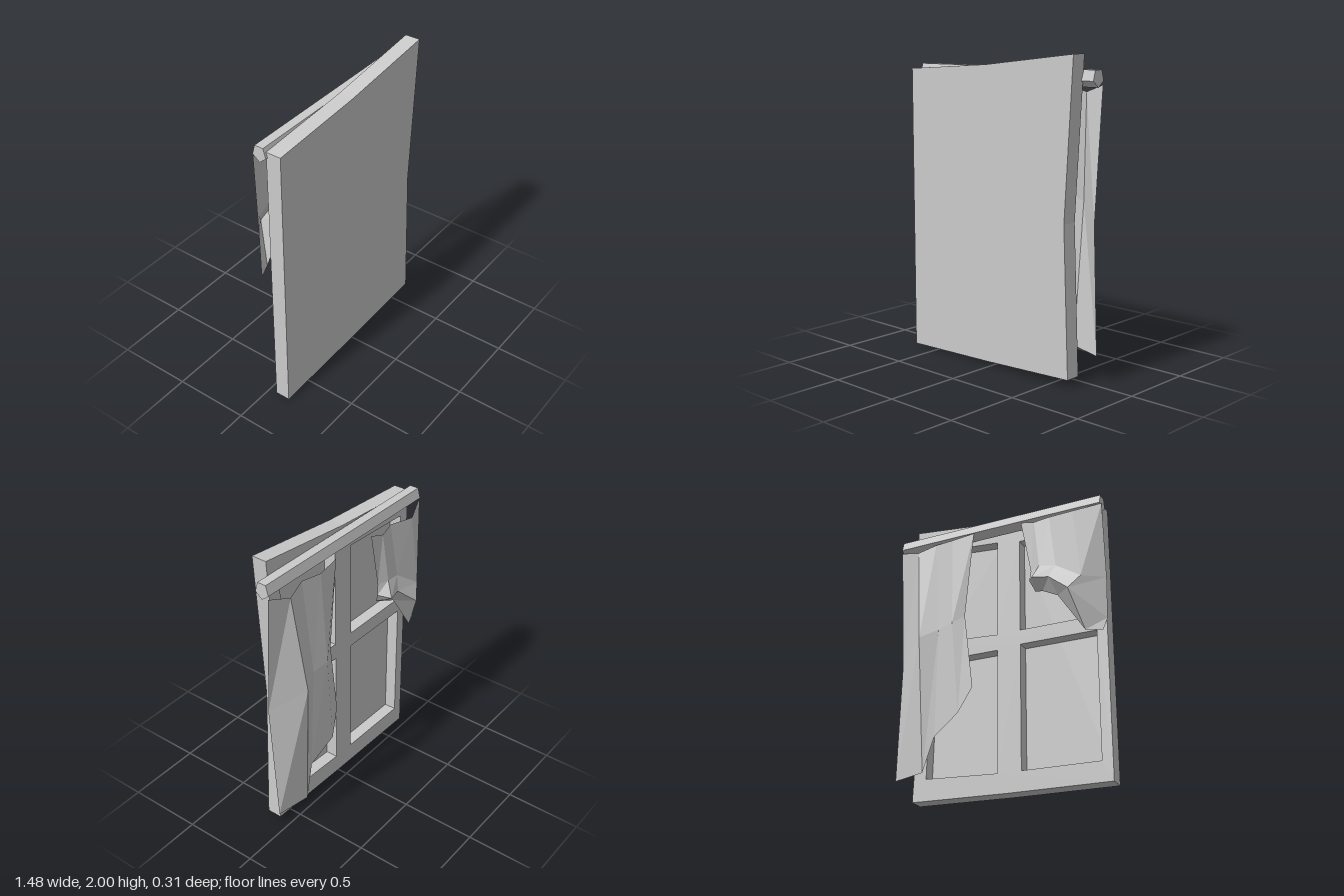
import * as THREE from 'three';

const grey = new THREE.MeshStandardMaterial({ color: 0xcccccc, flatShading: true });
const cloth = new THREE.MeshStandardMaterial({ color: 0xcccccc, flatShading: true, side: THREE.DoubleSide });

const points = (list) => list.map(([x, y]) => new THREE.Vector2(x, y));

// Crooked outline shared by the window frame and the panel that closes it
const OUTLINE = [[-0.71, 0], [-0.04, 0.02], [0.635, 0.05], [0.595, 1], [0.655, 2], [-0.04, 1.915], [-0.71, 1.865]];

// Four slightly skewed pane openings
const PANES = [
  [[-0.64, 0.135], [-0.12, 0.15], [-0.12, 0.99], [-0.64, 0.98]],
  [[0.04, 0.155], [0.54, 0.19], [0.52, 0.99], [0.04, 0.98]],
  [[-0.64, 1.08], [-0.12, 1.09], [-0.12, 1.74], [-0.64, 1.71]],
  [[0.04, 1.09], [0.52, 1.13], [0.55, 1.82], [0.04, 1.77]],
];

function slab(name, z, depth, holes = []) {
  const shape = new THREE.Shape(points(OUTLINE));
  for (const hole of holes) shape.holes.push(new THREE.Path(points(hole)));
  const geometry = new THREE.ExtrudeGeometry(shape, { depth, bevelEnabled: false });
  const mesh = new THREE.Mesh(geometry, grey);
  mesh.name = name;
  mesh.position.z = z;
  return mesh;
}

// Folded cloth lofted through rows of points, top to bottom
function curtain(name, rows) {
  const columns = rows[0].length;
  const index = [];
  for (let r = 0; r < rows.length - 1; r++) {
    for (let c = 0; c < columns - 1; c++) {
      const a = r * columns + c;
      const b = a + columns;
      index.push(a, b, a + 1, a + 1, b, b + 1);
    }
  }
  let geometry = new THREE.BufferGeometry();
  geometry.setAttribute('position', new THREE.Float32BufferAttribute(rows.flat(2), 3));
  geometry.setIndex(index);
  geometry = geometry.toNonIndexed();
  geometry.computeVertexNormals();
  const mesh = new THREE.Mesh(geometry, cloth);
  mesh.name = name;
  return mesh;
}

// Five-sided curtain rod between two points, one edge on top
function rod(start, end, radius) {
  const geometry = new THREE.CylinderGeometry(radius, radius, start.distanceTo(end), 5);
  geometry.rotateY(-Math.PI / 2);
  geometry.rotateZ(Math.PI / 2);
  geometry.scale(1, 1, 0.88);
  const mesh = new THREE.Mesh(geometry, grey);
  const direction = end.clone().sub(start).normalize();
  mesh.quaternion.setFromUnitVectors(new THREE.Vector3(1, 0, 0), direction);
  mesh.position.copy(start).lerp(end, 0.5);
  mesh.name = 'curtainRod';
  return mesh;
}

export function createModel() {
  const model = new THREE.Group();
  model.name = 'curtainedWindow';

  // Frame with recessed panes, closed by a flat panel
  model.add(slab('windowFrame', 0.055, 0.08, PANES));
  model.add(slab('windowPanel', 0.135, 0.02));

  model.add(rod(new THREE.Vector3(-0.725, 1.847, 0.017), new THREE.Vector3(0.735, 1.862, 0.023), 0.057));

  // Long hanging curtain
  model.add(curtain('leftCurtain', [
    [[0.735, 1.82, -0.02], [0.585, 1.77, -0.055], [0.46, 1.81, -0.035], [0.32, 1.8, -0.06], [0.165, 1.82, -0.05]],
    [[0.725, 1, 0.03], [0.525, 1.1, -0.115], [0.41, 1.15, -0.065], [0.3, 1.17, -0.085], [0.225, 1.22, -0.05]],
    [[0.72, 0.18, -0.015], [0.5, 0.19, -0.065], [0.43, 0.42, -0.05], [0.25, 0.54, -0.08], [0.165, 0.71, -0.05]],
  ]));

  // Short curtain, gathered up and puffed out at the lower end
  model.add(curtain('rightCurtain', [
    [[-0.18, 1.81, -0.05], [-0.28, 1.78, -0.065], [-0.38, 1.8, -0.05], [-0.56, 1.78, -0.085], [-0.735, 1.825, -0.02]],
    [[-0.25, 1.43, -0.055], [-0.32, 1.44, -0.085], [-0.43, 1.42, -0.075], [-0.61, 1.29, -0.11], [-0.74, 1.3, 0]],
    [[-0.24, 1.36, -0.06], [-0.29, 1.34, -0.135], [-0.395, 1.33, -0.11], [-0.54, 1.2, -0.157], [-0.735, 1.02, 0]],
    [[-0.27, 1.29, -0.03], [-0.33, 1.27, -0.055], [-0.43, 1.22, -0.05], [-0.61, 0.94, -0.06], [-0.71, 0.935, -0.02]],
  ]));

  return model;
}
